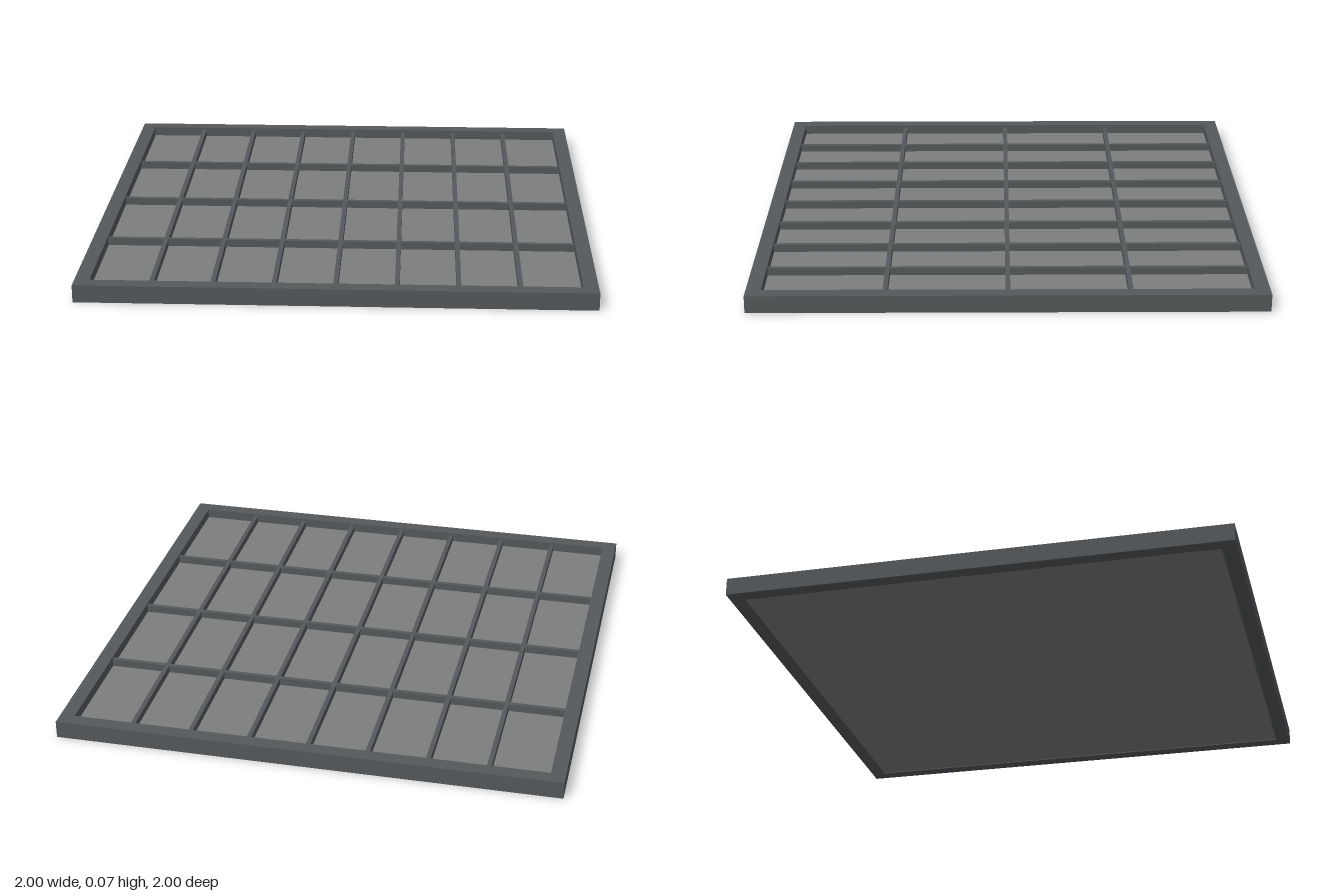
import * as THREE from 'three';

const HEIGHT = 0.07; // frame thickness
const INNER = 0.942; // half size of the opening
const BAR = 0.018; // glazing bar width
const BAR_TOP = 0.06;
const PANE_TOP = 0.03;
const BASE = 0.004; // underside of the panes
const COLUMNS = 8;
const ROWS = 4;

export function createModel() {
  const group = new THREE.Group();
  const frameMaterial = new THREE.MeshStandardMaterial({ color: 0x55595b });
  const paneMaterial = new THREE.MeshStandardMaterial({ color: 0x7c7d7e });

  const add = (name, geometry, material) => {
    const mesh = new THREE.Mesh(geometry, material);
    mesh.name = name;
    group.add(mesh);
    return mesh;
  };
  const addBox = (name, width, depth, bottom, top, x, z, material) =>
    add(name, new THREE.BoxGeometry(width, top - bottom, depth), material)
      .position.set(x, (bottom + top) / 2, z);
  const square = (PathType, s) => new PathType([
    new THREE.Vector2(-s, -s), new THREE.Vector2(s, -s),
    new THREE.Vector2(s, s), new THREE.Vector2(-s, s),
  ]);

  // Square outer frame with one opening
  const outline = square(THREE.Shape, 1);
  outline.holes.push(square(THREE.Path, INNER));
  const frame = new THREE.ExtrudeGeometry(outline, { depth: HEIGHT, bevelEnabled: false });
  frame.rotateX(-Math.PI / 2);
  add('outerFrame', frame, frameMaterial);

  // One sheet behind all the panes
  addBox('panePanel', INNER * 2, INNER * 2, BASE, PANE_TOP, 0, 0, paneMaterial);

  // Long bars between the columns
  const columnPitch = INNER * 2 / COLUMNS;
  for (let i = 1; i < COLUMNS; i++) {
    addBox('columnBar', BAR, INNER * 2, PANE_TOP, BAR_TOP, -INNER + i * columnPitch, 0, frameMaterial);
  }

  // Short bars between the rows, fitted between the long bars
  const rowPitch = INNER * 2 / ROWS;
  for (let j = 1; j < ROWS; j++) {
    for (let i = 0; i < COLUMNS; i++) {
      const left = -INNER + i * columnPitch + (i > 0 ? BAR / 2 : 0);
      const right = -INNER + (i + 1) * columnPitch - (i < COLUMNS - 1 ? BAR / 2 : 0);
      addBox('rowBar', right - left, BAR, PANE_TOP, BAR_TOP, (left + right) / 2, -INNER + j * rowPitch, frameMaterial);
    }
  }
  return group;
}
